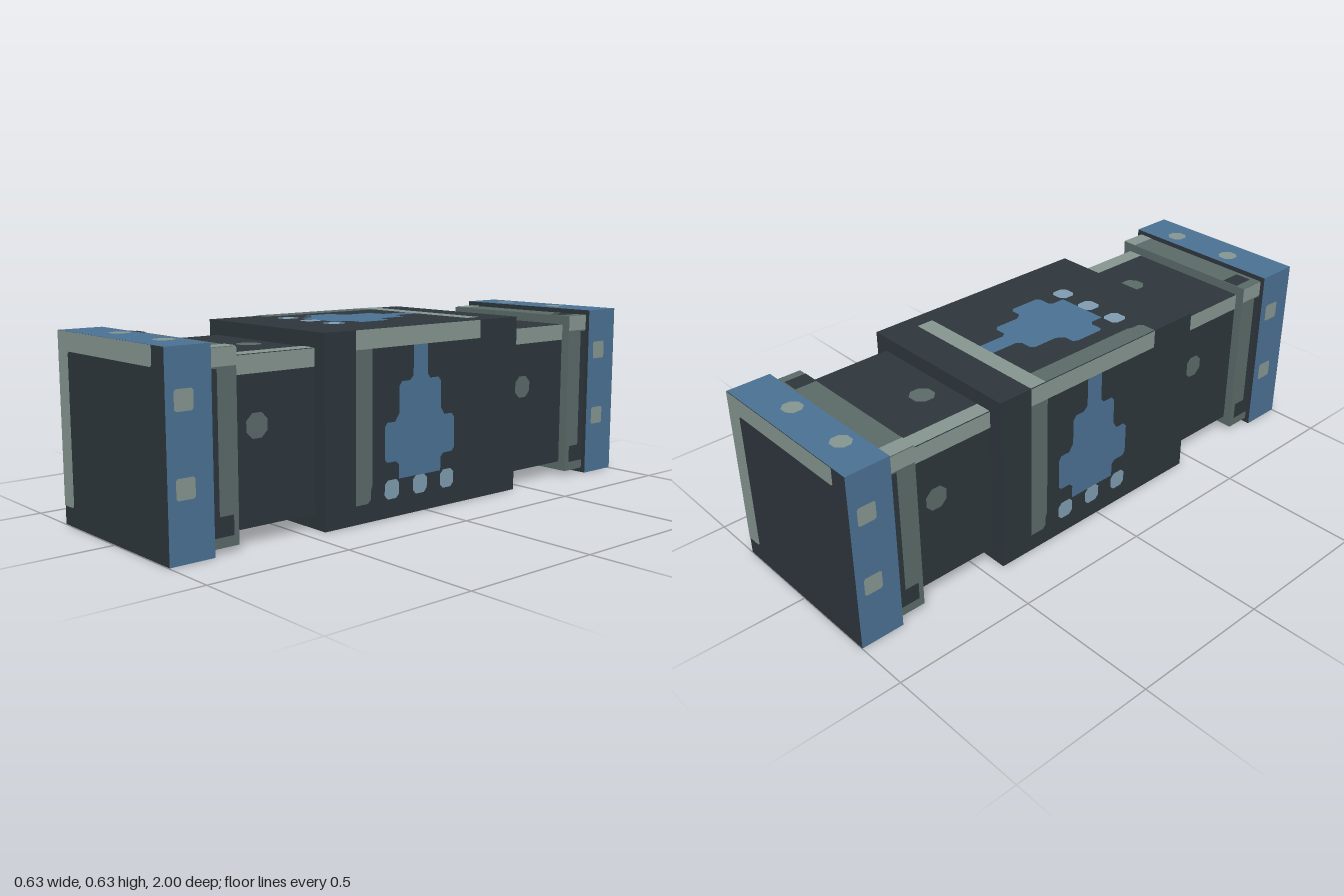
import * as THREE from 'three';

const mat = (name, color, extra = {}) => {
  const m = new THREE.MeshStandardMaterial({ color, ...extra });
  m.name = name;
  return m;
};

export function createModel() {
  const dark = mat('darkSlate', 0x2d353b);
  const light = mat('lightSage', 0x84948f);
  const mid = mat('midSage', 0x5a6967);
  const blue = mat('steelBlue', 0x4a7092);
  const pale = mat('paleBlue', 0x7d9bae);
  const H = 0.3125; // half of the block height
  const LIFT = 0.002; // painted plates sit just above the faces

  const block = (parent, name, size, z0, z1, material) => {
    const mesh = new THREE.Mesh(new THREE.BoxGeometry(size, size, z1 - z0), material);
    mesh.position.set(0, H, (z0 + z1) / 2);
    mesh.name = name;
    parent.add(mesh);
    return mesh;
  };

  // A drawing surface on one face of a block: local x runs right, local y runs up
  const panel = (parent, name, dist, cz, rx, ry, turn = 0) => {
    const g = new THREE.Group();
    g.name = name;
    g.rotation.set(rx, ry, 0);
    g.position.set(0, 0, dist + LIFT).applyEuler(g.rotation).add(new THREE.Vector3(0, H, cz));
    const inner = new THREE.Group();
    inner.rotation.z = turn;
    g.add(inner);
    parent.add(g);
    return inner;
  };
  const Q = Math.PI / 2;
  // Right, left, top and bottom faces
  const sides = [[0, Q, false], [0, -Q, false], [-Q, 0, true], [Q, 0, true]];

  const outline = (parent, name, pts, material) => {
    const shape = new THREE.Shape(pts.map(([x, y]) => new THREE.Vector2(x, y)));
    const mesh = new THREE.Mesh(new THREE.ShapeGeometry(shape), material);
    mesh.name = name;
    parent.add(mesh);
  };
  // Rectangle with clipped corners
  const rect = (parent, name, x0, x1, y0, y1, material, c = 0) =>
    outline(parent, name, c
      ? [[x0 + c, y0], [x1 - c, y0], [x1, y0 + c], [x1, y1 - c],
        [x1 - c, y1], [x0 + c, y1], [x0, y1 - c], [x0, y0 + c]]
      : [[x0, y0], [x1, y0], [x1, y1], [x0, y1]], material);
  const dot = (parent, name, x, y, r, c, material) =>
    rect(parent, name, x - r, x + r, y - r, y + r, material, c);

  const model = new THREE.Group();
  model.name = 'segmentedBeam';

  // Central block with a painted emblem on its four long faces
  block(model, 'centreBlock', 0.625, -0.4375, 0.4375, dark);
  const emblem = [
    [-0.064, 0.25], [-0.064, 0.15], [-0.08, 0.135], [-0.115, 0.135], [-0.127, 0.12],
    [-0.127, 0.03], [-0.145, 0.005], [-0.18, 0.005], [-0.19, -0.01], [-0.19, -0.115],
    [-0.18, -0.127], [-0.14, -0.127], [-0.127, -0.14], [-0.127, -0.187], [0.063, -0.187],
    [0.063, -0.14], [0.076, -0.127], [0.115, -0.127], [0.127, -0.115], [0.127, -0.01],
    [0.115, 0.005], [0.08, 0.005], [0.063, 0.03], [0.063, 0.12], [0.05, 0.135],
    [0.012, 0.135], [0, 0.15], [0, 0.25],
  ];
  for (const [rx, ry] of sides) {
    const p = panel(model, 'centrePaint', H, 0, rx, ry);
    rect(p, 'topBar', -H, 0.25, 0.25, H, light);
    outline(p, 'sideBar', [[-H, -0.25], [-0.262, -0.25], [-0.25, -0.238], [-0.25, -0.21],
      [-0.243, -0.19], [-0.243, 0.25], [-H, 0.25]], mid);
    outline(p, 'emblem', emblem, blue);
    for (const x of [-0.158, -0.032, 0.094]) dot(p, 'emblemDot', x, -0.218, 0.032, 0.014, pale);
  }

  // Neck, collar and cap, made for each end by a half turn
  for (const turn of [0, Math.PI]) {
    const end = new THREE.Group();
    end.name = turn ? 'backEnd' : 'frontEnd';
    end.rotation.y = turn;
    model.add(end);

    block(end, 'neck', 0.525, 0.4375, 0.75, dark);
    block(end, 'collar', 0.59, 0.75, 0.847, mid);
    block(end, 'cap', 0.625, 0.847, 1, [blue, blue, blue, blue, dark, dark]);

    for (const [rx, ry, flat] of sides) {
      const t = flat ? -Q : 0;
      const n = panel(end, 'neckPaint', 0.2625, 0.594, rx, ry, t);
      rect(n, 'neckStripe', -0.156, 0.156, 0.205, 0.2625, light);
      dot(n, 'neckDot', -0.064, 0.0475, 0.039, 0.022, mid);

      const c = panel(end, 'collarPaint', 0.295, 0.7985, rx, ry, t);
      rect(c, 'collarStripe', -0.0485, 0.0485, 0.24, 0.295, light);
      // The dark patch lies against the cap
      const s = ry < 0 ? 1 : -1;
      const [a, b] = s > 0 ? [-0.03, 0.0485] : [-0.0485, 0.03];
      rect(c, 'collarPatch', a, b, -0.262, -0.2, dark);
      const [d, e] = s > 0 ? [0.02, 0.0485] : [-0.0485, -0.02];
      if (!flat) rect(c, 'collarShade', d, e, -0.2, 0.235, dark);

      const k = panel(end, 'capPaint', H, 0.9235, rx, ry, t);
      for (const y of [0.1605, -0.0925])
        dot(k, 'capStud', -0.0175, y, 0.032, flat ? 0.018 : 0.006, light);
    }

    // Angled mark along two edges of the end face
    const f = panel(end, 'endPaint', 1, 0, 0, 0);
    outline(f, 'endMark', [[-H, -0.25], [-0.258, -0.25], [-0.25, -0.24], [-0.25, 0.243],
      [-0.243, 0.25], [0.242, 0.25], [0.25, 0.258], [0.25, H], [-H, H]], light);
  }
  return model;
}
